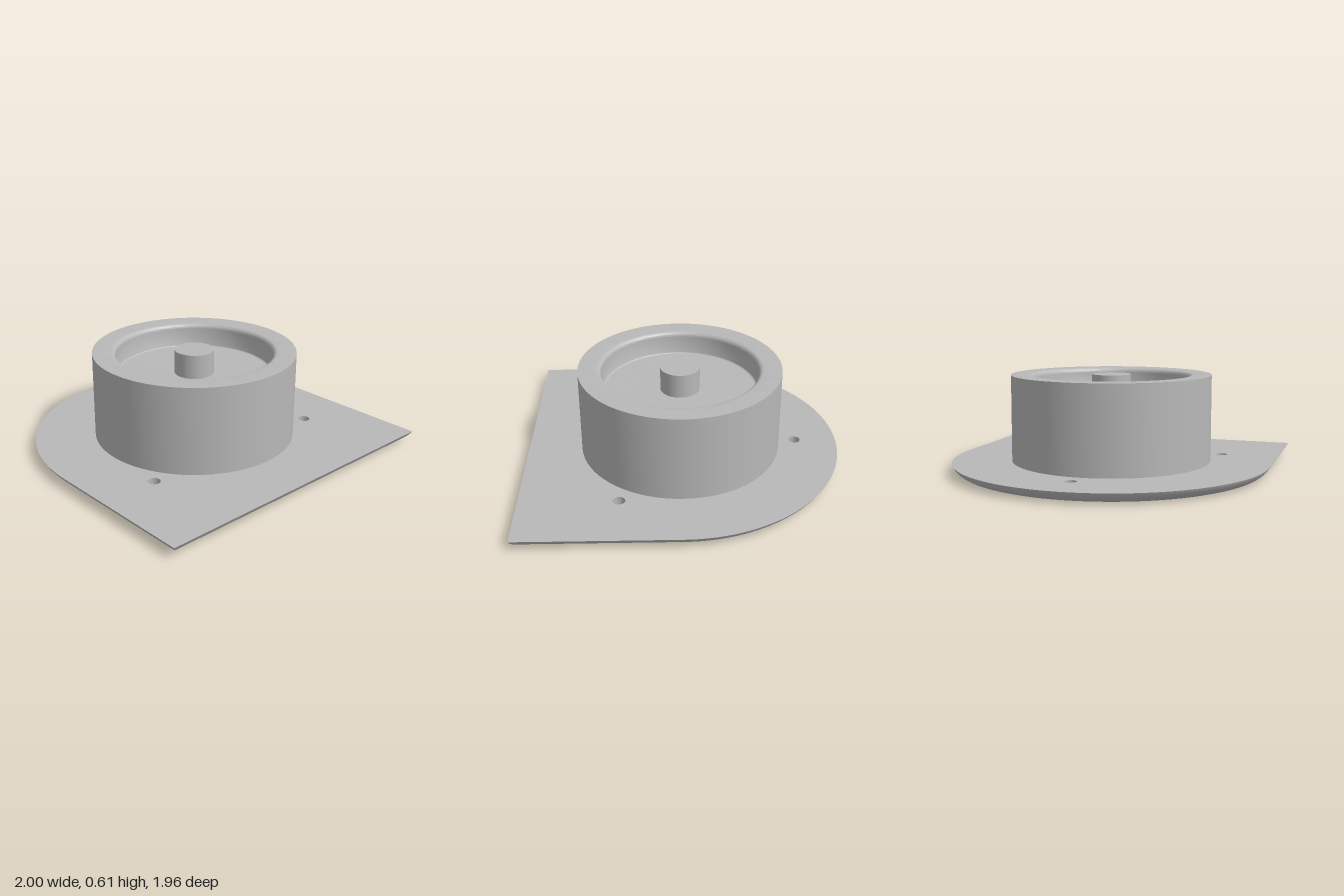
import * as THREE from 'three';
import { toCreasedNormals } from 'three/addons/utils/BufferGeometryUtils.js';
import { ParametricGeometry } from 'three/addons/geometries/ParametricGeometry.js';

const CZ = 0.018;              // z of the common axis
const FRONT = 0.977;           // straight front edge
const PLATE_TOP = 0.065;
const EDGE_W = 0.1;            // how far the rounded edge cuts in underneath
const EDGE_R = (EDGE_W ** 2 + PLATE_TOP ** 2) / (2 * PLATE_TOP);
const EDGE_ANGLE = Math.asin(EDGE_W / EDGE_R);
const HOLE_R = 0.037;
const BODY_TOP = 0.605;
const FLOOR = 0.455;
const N = 82;                  // steps along the arched outline

// Arched outline inset by d, from the left front corner round the back
function outline(s, d) {
  const r = 1 - d, f = FRONT - d;
  if (s < 1) return [r, f + (CZ - f) * s];
  if (s > N - 1) return [-r, f + (CZ - f) * (N - s)];
  const a = Math.PI * (s - 1) / (N - 2);
  return [r * Math.cos(a), CZ - r * Math.sin(a)];
}

// Mounting holes, 120 degrees apart
const holes = [90, 210, 330].map(deg => {
  const a = THREE.MathUtils.degToRad(deg);
  return [0.735 * Math.cos(a), CZ - 0.735 * Math.sin(a)];
});

// Flat face of the plate; up = 1 faces up, -1 faces down
function plateFace(d, y, up) {
  const points = [];
  for (let i = 0; i <= N; i++) {
    const [x, z] = outline(i, d);
    points.push(new THREE.Vector2(x, -up * z));
  }
  const shape = new THREE.Shape(points);
  for (const [x, z] of holes) {
    shape.holes.push(new THREE.Path().absarc(x, -up * z, HOLE_R, 0, Math.PI * 2, true));
  }
  return new THREE.ShapeGeometry(shape, 24).rotateX(-up * Math.PI / 2).translate(0, y, 0);
}

// Inset and height along the rounded edge, v from bottom to top
function edge(v) {
  const a = v * EDGE_ANGLE;
  return [EDGE_W - EDGE_R * Math.sin(a), EDGE_R * (1 - Math.cos(a))];
}

export function createModel() {
  const model = new THREE.Group();
  model.name = 'flangedHousing';
  const grey = new THREE.MeshStandardMaterial({ color: 0xb8b8b8 });
  grey.name = 'grey';
  const add = (parent, name, geometry) => {
    const mesh = new THREE.Mesh(geometry, grey);
    mesh.name = name;
    parent.add(mesh);
    return mesh;
  };

  // Base plate
  const plate = new THREE.Group();
  plate.name = 'basePlate';
  model.add(plate);
  add(plate, 'plateTop', plateFace(0, PLATE_TOP, 1));
  add(plate, 'plateBottom', plateFace(EDGE_W, 0, -1));
  add(plate, 'archedEdge', new ParametricGeometry((u, v, target) => {
    const [d, y] = edge(v);
    const [x, z] = outline(u * N, d);
    target.set(x, y, z);
  }, N, 10));
  add(plate, 'frontEdge', new ParametricGeometry((u, v, target) => {
    const [d, y] = edge(v);
    target.set((2 * u - 1) * (1 - d), y, FRONT - d);
  }, 1, 10));

  // Inner walls of the mounting holes
  for (const [x, z] of holes) {
    const wall = new THREE.LatheGeometry(
      [new THREE.Vector2(HOLE_R, PLATE_TOP), new THREE.Vector2(HOLE_R, 0)], 24);
    add(plate, 'holeWall', wall).position.set(x, 0, z);
  }

  // Round housing with a recess, rounded at its rim and foot
  const profile = [[0.627, PLATE_TOP], [0.627, BODY_TOP], [0.516, BODY_TOP]];
  const wallR = 0.484, rim = 0.03, foot = 0.012;
  for (let i = 0; i <= 8; i++) {
    const a = i / 8 * Math.PI / 2;
    profile.push([wallR + rim * (1 - Math.sin(a)), BODY_TOP - rim * (1 - Math.cos(a))]);
  }
  for (let i = 0; i <= 4; i++) {
    const a = i / 4 * Math.PI / 2;
    profile.push([wallR - foot * (1 - Math.cos(a)), FLOOR + foot * (1 - Math.sin(a))]);
  }
  profile.push([0.466, FLOOR], [0, FLOOR]);
  const body = new THREE.LatheGeometry(profile.map(p => new THREE.Vector2(...p)), 96);
  add(model, 'housing', toCreasedNormals(body, 0.6)).position.z = CZ;

  // Centre post
  const height = BODY_TOP - FLOOR;
  const post = new THREE.CylinderGeometry(0.122, 0.122, height, 64);
  add(model, 'centrePost', post).position.set(0, FLOOR + height / 2, CZ);

  return model;
}
